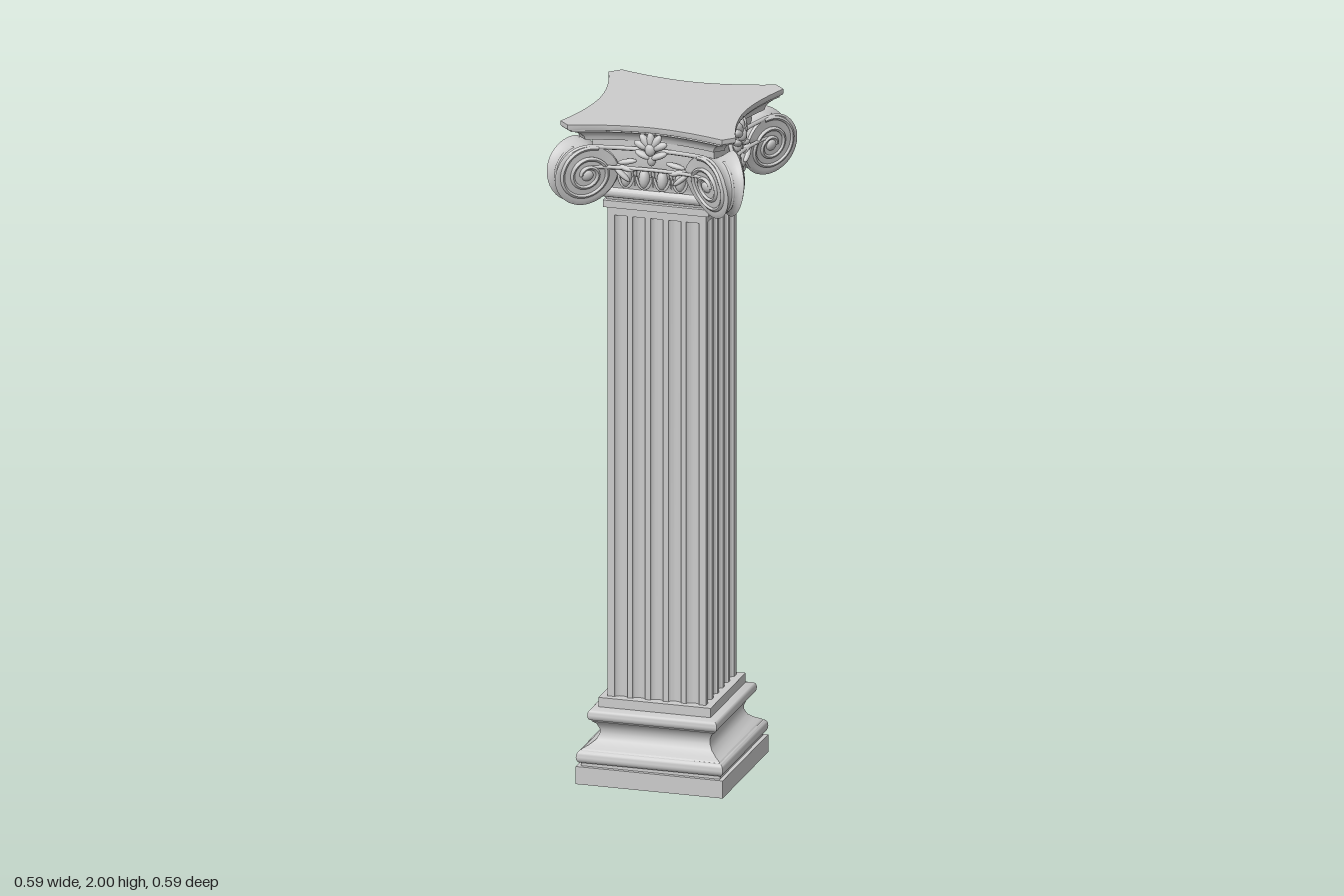
import * as THREE from 'three';
import { toCreasedNormals } from 'three/addons/utils/BufferGeometryUtils.js';

const material = new THREE.MeshStandardMaterial({ color: 0xcccccc });

function add(parent, name, geometry) {
  const mesh = new THREE.Mesh(geometry, material);
  mesh.name = name;
  parent.add(mesh);
  return mesh;
}

// Repeats one side, given as [out, along] points, around the four sides of a plan.
function fourSides(side) {
  const ring = [];
  for (let k = 0; k < 4; k++) {
    for (const [out, along] of side) {
      let x = out, z = -along;
      for (let i = 0; i < k; i++) [x, z] = [z, -x];
      ring.push([x, z]);
    }
  }
  return ring;
}

// Stacks scaled copies of a plan ring at [scale, y] levels, bottom to top, with caps.
function loft(ring, levels, crease = 0.6) {
  const n = ring.length, pos = [], idx = [];
  for (const [s, y] of levels) for (const [x, z] of ring) pos.push(x * s, y, z * s);
  const low = pos.length / 3, high = low + 1, top = (levels.length - 1) * n;
  pos.push(0, levels[0][1], 0, 0, levels.at(-1)[1], 0);
  for (let i = 0; i < n; i++) {
    const j = (i + 1) % n;
    for (let l = 0; l < top; l += n) {
      idx.push(l + i, l + j, l + n + j, l + i, l + n + j, l + n + i);
    }
    idx.push(low, j, i, high, top + i, top + j);
  }
  const g = new THREE.BufferGeometry();
  g.setAttribute('position', new THREE.Float32BufferAttribute(pos, 3));
  g.setIndex(idx);
  return toCreasedNormals(g, crease);
}

// Half circle moulding bulging from half width w between two heights.
function roll(w, y0, y1, bulge, steps = 8) {
  return Array.from({ length: steps + 1 }, (_, i) => {
    const a = Math.PI * i / steps;
    return [w + bulge * Math.sin(a), (y0 + y1) / 2 - (y1 - y0) / 2 * Math.cos(a)];
  });
}

function ellipsoid(parent, name, x, y, z, rx, ry, rz, tilt = 0) {
  const m = add(parent, name, new THREE.SphereGeometry(1, 14, 10));
  m.position.set(x, y, z);
  m.scale.set(rx, ry, rz);
  m.rotation.z = tilt;
  return m;
}

// Half thickness of a corner volute: wedge shaped, narrowing to the bottom.
const thickness = (x, y) =>
  (0.0515 - 0.21 * x) * (0.5 + 0.5 * THREE.MathUtils.clamp((y + 0.09) / 0.12, 0, 1));

function bend(geometry, rule) {
  const p = geometry.attributes.position;
  for (let i = 0; i < p.count; i++) {
    p.setZ(i, rule(p.getX(i), p.getY(i), p.getZ(i)));
  }
  geometry.computeVertexNormals();
  return geometry;
}

function createVolute() {
  const g = new THREE.Group();
  g.name = 'cornerVolute';
  // Scroll body with a hollowed band between its two faces
  const profile = [[0, -1], [0.08, -1], [0.089, -1.02], [0.094, -0.92], [0.086, -0.6], [0.08, -0.2], [0.079, 0],
    [0.08, 0.2], [0.086, 0.6], [0.094, 0.92], [0.089, 1.02], [0.08, 1], [0, 1]];
  const body = new THREE.LatheGeometry(profile.map(p => new THREE.Vector2(...p)), 48).rotateX(Math.PI / 2);
  add(g, 'scrollBody', toCreasedNormals(bend(body, (x, y, z) => z * thickness(x, y)), 0.7));

  // Raised spiral and eye on both faces
  const points = [];
  for (let i = 0; i <= 60; i++) {
    const t = i / 60, a = 1.9 - t * Math.PI * 4.6, r = 0.086 - 0.068 * Math.pow(t, 0.85);
    points.push(new THREE.Vector3(r * Math.cos(a), r * Math.sin(a), 0));
  }
  const raise = (x, y, z) => z + thickness(x, y);
  const spiral = bend(new THREE.TubeGeometry(new THREE.CatmullRomCurve3(points), 140, 0.0065, 6), raise);
  const eye = bend(new THREE.SphereGeometry(0.017, 16, 10).scale(1, 1, 0.6), raise);
  for (const s of [1, -1]) {
    add(g, 'spiralFillet', spiral).scale.z = s;
    add(g, 'scrollEye', eye).scale.z = s;
  }

  // Leaf rib running down the hollow band
  const rib = new THREE.CatmullRomCurve3([1.3, 0.8, 0.3, -0.2, -0.7, -1.2].map(a =>
    new THREE.Vector3(0.078 * Math.cos(a), 0.078 * Math.sin(a), 0)));
  add(g, 'bandRib', new THREE.TubeGeometry(rib, 24, 0.005, 6));
  return g;
}

// Ornament between the scrolls on one side, facing +z
function createSideOrnament() {
  const g = new THREE.Group();
  g.name = 'sideOrnament';
  // Egg and dart band
  for (const x of [-0.081, -0.027, 0.027, 0.081]) {
    ellipsoid(g, 'egg', x, 1.832, 0.18, 0.016, 0.03, 0.019);
    const shell = add(g, 'eggShell', new THREE.TorusGeometry(0.022, 0.004, 6, 18, Math.PI));
    shell.rotation.z = Math.PI;
    shell.scale.y = 1.6;
    shell.position.set(x, 1.84, 0.185);
  }
  for (const x of [-0.054, 0, 0.054]) {
    const dart = add(g, 'dart', new THREE.ConeGeometry(0.007, 0.055, 4));
    dart.rotation.x = Math.PI;
    dart.position.set(x, 1.83, 0.183);
  }
  // Fillet sweeping from scroll to scroll under the abacus
  for (const [y, r] of [[1.932, 0.007], [1.872, 0.006]]) {
    const curve = new THREE.QuadraticBezierCurve3(new THREE.Vector3(-0.17, y, 0.235),
      new THREE.Vector3(0, y - 0.015, 0.15), new THREE.Vector3(0.17, y, 0.235));
    add(g, 'channelFillet', new THREE.TubeGeometry(curve, 24, r, 6));
  }
  // Leaves springing from the scrolls
  for (const s of [-1, 1]) {
    for (let i = 0; i < 3; i++) {
      ellipsoid(g, 'scrollLeaf', s * (0.088 - i * 0.008), 1.845 + i * 0.02, 0.198,
        0.03, 0.008, 0.01, s * (0.7 - i * 0.45));
    }
  }
  // Central flower
  for (let i = -2; i <= 2; i++) {
    const a = i * 0.6;
    ellipsoid(g, 'flowerPetal', -Math.sin(a) * 0.027, 1.932 + Math.cos(a) * 0.026, 0.206, 0.012, 0.026, 0.012, a);
  }
  for (const s of [-1, 1]) ellipsoid(g, 'flowerSepal', s * 0.024, 1.912, 0.202, 0.026, 0.01, 0.014, s * 0.4);
  ellipsoid(g, 'flowerHeart', 0, 1.932, 0.21, 0.016, 0.02, 0.014);
  ellipsoid(g, 'flowerStem', 0, 1.9, 0.197, 0.014, 0.022, 0.014);
  return g;
}

export function createModel() {
  const model = new THREE.Group();
  model.name = 'column';
  const square = fourSides([[1, -1]]);

  // Base: plinth, lower roll, scotia, upper roll
  add(model, 'plinth', loft(square, [[0.22, 0], [0.22, 0.053]]));
  const scotia = [[0.205, 0.104], [0.19, 0.112], [0.173, 0.125], [0.165, 0.142], [0.165, 0.155],
    [0.172, 0.172], [0.184, 0.182]];
  add(model, 'baseMoulding', loft(square, [[0.208, 0.053], [0.208, 0.062],
    ...roll(0.208, 0.062, 0.1, 0.012), ...scotia, ...roll(0.184, 0.185, 0.218, 0.01),
    [0.168, 0.222], [0.168, 0.25]]));

  // Shaft with five flutes on every side
  const half = 0.147, pitch = 0.0535, fluteHalf = 0.019, depth = 0.012;
  const side = [[half, -half]];
  for (let f = -2; f <= 2; f++) {
    for (let i = 0; i <= 8; i++) {
      const a = Math.PI * i / 8;
      side.push([half - depth * Math.sin(a), f * pitch - fluteHalf * Math.cos(a)]);
    }
  }
  add(model, 'flutedShaft', loft(fourSides(side), [[1, 0.25], [1, 1.702]], 0.5));
  add(model, 'shaftTop', loft(square, [[half, 1.702], [half, 1.73]]));

  // Neck mouldings and capital core
  add(model, 'capitalCore', loft(square, [[0.158, 1.727], [0.158, 1.748], [0.15, 1.75], [0.152, 1.757],
    ...roll(0.16, 1.76, 1.79, 0.009), [0.16, 1.795], [0.166, 1.81], [0.174, 1.835], [0.18, 1.865],
    [0.182, 1.9], [0.182, 1.955]]));

  // Abacus with hollow sides and cut corners
  const hollow = Array.from({ length: 25 }, (_, i) => {
    const t = i / 12 - 1;
    return [0.216 + 0.046 * Math.pow(Math.abs(t), 1.8), 0.231 * t];
  });
  add(model, 'abacus', loft(fourSides(hollow), [[0.83, 1.945], [0.84, 1.955], [0.87, 1.965], [0.92, 1.973],
    [0.965, 1.977], [0.965, 1.981], [0.99, 1.983], [1, 1.988], [1, 2]], 0.5));

  // Corner volutes and ornament, one per corner and side
  for (let k = 0; k < 4; k++) {
    const turn = k * Math.PI / 2;
    const ornament = createSideOrnament();
    ornament.rotation.y = turn;
    const volute = createVolute();
    volute.rotation.y = turn - Math.PI / 4;
    volute.position.set(0.297 * Math.cos(volute.rotation.y), 1.846, -0.297 * Math.sin(volute.rotation.y));
    model.add(ornament, volute);
  }
  return model;
}
